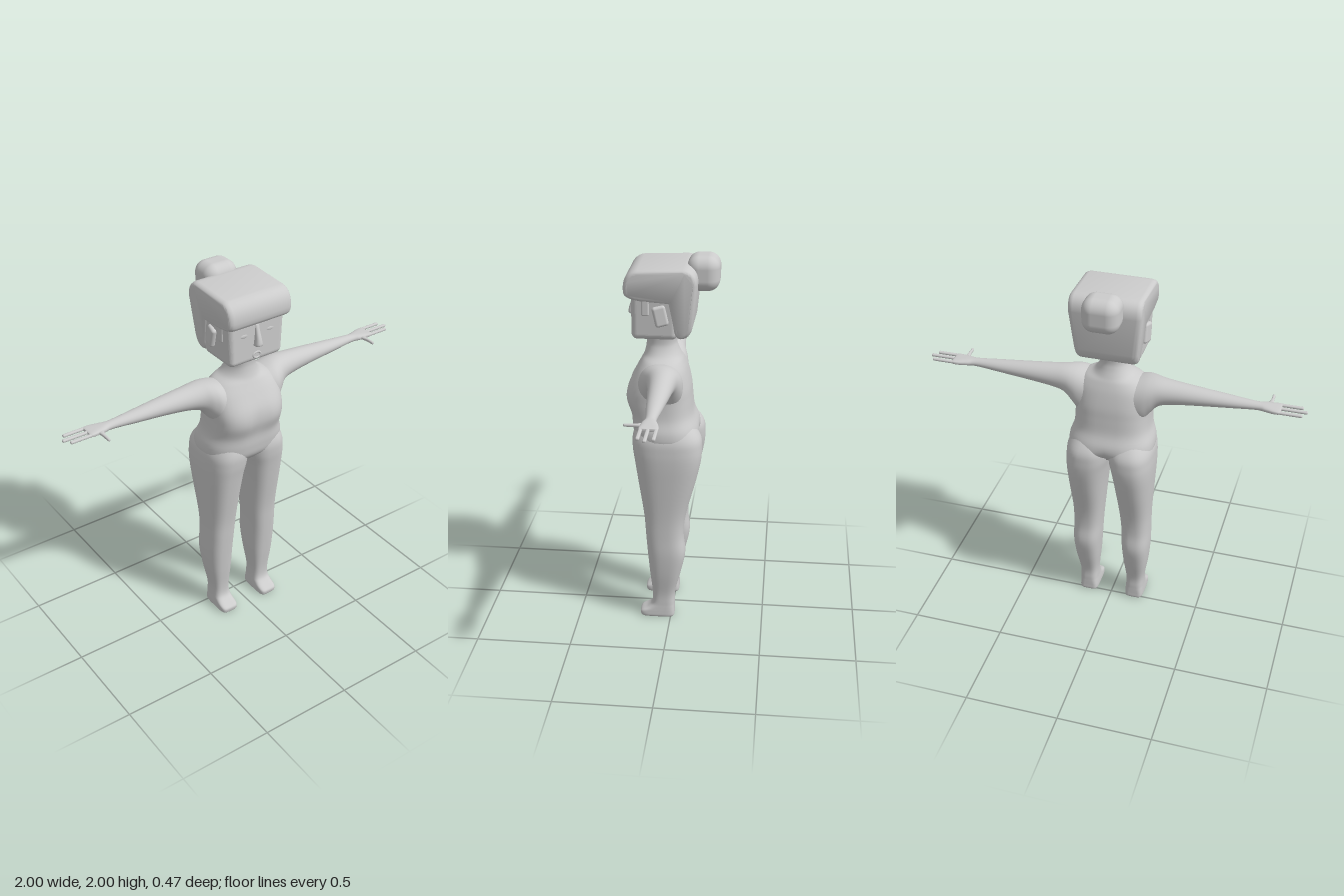
import * as THREE from 'three';
import { RoundedBoxGeometry } from 'three/addons/geometries/RoundedBoxGeometry.js';
import { toCreasedNormals } from 'three/addons/utils/BufferGeometryUtils.js';

const material = new THREE.MeshStandardMaterial({ color: 0xcccccc });
const SIDES = 40, STEPS = 5;

function add(parent, name, geometry, x = 0, y = 0, z = 0) {
  const mesh = new THREE.Mesh(geometry, material);
  mesh.name = name;
  mesh.position.set(x, y, z);
  parent.add(mesh);
  return mesh;
}

// Smooth tube through superellipse sections [t, aMin, aMax, bMin, bMax, squareness].
// axis 'y': t = y, a = z, b = x.  axis 'x': t = x, a = y, b = z.
function loft(axis, sections) {
  const spline = new THREE.CubicInterpolant(sections.map((_, i) => i), sections.flat(), 6, new Float32Array(6));
  const rings = (sections.length - 1) * STEPS, pos = [], idx = [];
  const put = (t, a, b) => (axis === 'y' ? pos.push(b, t, a) : pos.push(t, a, b));
  const power = (v, e) => Math.sign(v) * Math.abs(v) ** e;
  for (let i = 0; i <= rings; i++) {
    const [t, a0, a1, b0, b1, n] = spline.evaluate(i / STEPS);
    for (let j = 0; j < SIDES; j++) {
      const q = (j / SIDES) * Math.PI * 2;
      put(t, (a0 + a1) / 2 + ((a1 - a0) / 2) * power(Math.cos(q), 2 / n),
        (b0 + b1) / 2 + ((b1 - b0) / 2) * power(Math.sin(q), 2 / n));
    }
  }
  for (let i = 0; i < rings; i++) {
    for (let j = 0; j < SIDES; j++) {
      const k = (j + 1) % SIDES, p = i * SIDES, r = p + SIDES;
      idx.push(p + j, p + k, r + k, p + j, r + k, r + j);
    }
  }
  // end caps
  for (const end of [0, rings]) {
    const [t, a0, a1, b0, b1] = sections[end ? sections.length - 1 : 0];
    const c = pos.length / 3;
    put(t, (a0 + a1) / 2, (b0 + b1) / 2);
    for (let j = 0; j < SIDES; j++) {
      const p = end * SIDES + j, k = end * SIDES + ((j + 1) % SIDES);
      idx.push(c, ...(end ? [p, k] : [k, p]));
    }
  }
  const g = new THREE.BufferGeometry();
  g.setAttribute('position', new THREE.Float32BufferAttribute(pos, 3));
  g.setIndex(idx);
  g.computeVertexNormals();
  return g;
}

// Move every vertex by a rule
function deform(g, rule) {
  const p = g.attributes.position, v = new THREE.Vector3();
  for (let i = 0; i < p.count; i++) {
    v.fromBufferAttribute(p, i);
    rule(v);
    p.setXYZ(i, v.x, v.y, v.z);
  }
  g.computeVertexNormals();
  return g;
}

function buildTorso(parent) {
  const g = loft('y', [
    [0.99, -0.09, 0.15, -0.17, 0.17, 2.4],
    [1.04, -0.14, 0.195, -0.222, 0.222, 2.6],
    [1.1, -0.137, 0.208, -0.225, 0.225, 2.7],
    [1.17, -0.11, 0.215, -0.203, 0.203, 2.8],
    [1.25, -0.1, 0.24, -0.198, 0.198, 2.9],
    [1.32, -0.093, 0.232, -0.2, 0.2, 2.8],
    [1.4, -0.075, 0.192, -0.195, 0.195, 2.5],
    [1.45, -0.057, 0.165, -0.16, 0.16, 2.2],
    [1.48, -0.042, 0.15, -0.105, 0.105, 2.1],
    [1.52, -0.025, 0.14, -0.076, 0.076, 2.2],
    [1.56, -0.018, 0.138, -0.07, 0.07, 2.3],
    [1.64, -0.03, 0.15, -0.08, 0.08, 2.4],
  ]);
  // shallow hollow down the chest and the lower back
  deform(g, (v) => {
    const hollow = Math.exp(-((v.x / 0.05) ** 2));
    if (v.z > 0.1) v.z -= 0.012 * hollow * Math.exp(-(((v.y - 1.26) / 0.08) ** 2));
    if (v.z < -0.05) v.z += 0.03 * hollow * Math.exp(-(((v.y - 1.02) / 0.05) ** 2));
  });
  add(parent, 'torso', g);
}

function buildLeg(parent) {
  add(parent, 'leg', loft('y', [
    [0, -0.014, 0.16, 0.086, 0.18, 5],
    [0.01, -0.02, 0.165, 0.081, 0.186, 5],
    [0.032, -0.02, 0.163, 0.081, 0.186, 5],
    [0.055, -0.02, 0.125, 0.083, 0.185, 4],
    [0.085, -0.02, 0.102, 0.085, 0.184, 3.2],
    [0.15, -0.022, 0.1, 0.085, 0.186, 3],
    [0.27, -0.053, 0.113, 0.072, 0.205, 2.8],
    [0.39, -0.077, 0.124, 0.064, 0.215, 2.7],
    [0.5, -0.067, 0.133, 0.059, 0.214, 2.7],
    [0.62, -0.08, 0.143, 0.048, 0.216, 2.6],
    [0.8, -0.127, 0.17, 0.03, 0.227, 2.6],
    [0.92, -0.154, 0.188, 0.014, 0.234, 2.6],
    [1.0, -0.16, 0.2, -0.002, 0.234, 2.6],
    [1.07, -0.148, 0.2, -0.005, 0.225, 2.5],
    [1.16, -0.08, 0.17, 0.02, 0.18, 2.3],
  ]));
}

function buildArm(parent) {
  add(parent, 'arm', loft('x', [
    [0.1, 1.22, 1.45, -0.06, 0.16, 2.3],
    [0.165, 1.23, 1.468, -0.062, 0.165, 2.3],
    [0.205, 1.275, 1.474, -0.055, 0.145, 2.2],
    [0.25, 1.325, 1.474, -0.043, 0.115, 2.1],
    [0.32, 1.345, 1.468, -0.034, 0.098, 2],
    [0.45, 1.362, 1.456, -0.024, 0.083, 2],
    [0.6, 1.376, 1.442, -0.011, 0.07, 2],
    [0.74, 1.388, 1.43, 0.002, 0.056, 2],
    [0.79, 1.392, 1.427, -0.008, 0.066, 2.4],
    [0.83, 1.396, 1.424, -0.018, 0.07, 3],
    [0.86, 1.401, 1.421, -0.02, 0.072, 4],
    [0.87, 1.405, 1.418, -0.014, 0.066, 4],
  ]));
  // fingers and thumb
  for (const [z, tip] of [[-0.01, 0.978], [0.028, 1], [0.062, 0.975]]) {
    add(parent, 'finger', new RoundedBoxGeometry(tip - 0.84, 0.015, 0.018, 3, 0.007), (tip + 0.84) / 2, 1.411, z);
  }
  const thumb = loft('y', [
    [0.03, -0.01, 0.01, -0.022, 0.016, 2.4],
    [0.07, -0.009, 0.009, -0.015, 0.011, 2.4],
    [0.1, -0.008, 0.008, -0.008, 0.008, 2.4],
    [0.14, -0.007, 0.007, -0.007, 0.007, 2.4],
    [0.146, -0.004, 0.004, -0.004, 0.004, 2.2],
  ]);
  add(parent, 'thumb', thumb, 0.813, 1.409, 0).rotation.x = Math.PI / 2;
}

function buildHead(parent) {
  // face block, narrower at the jaw
  const face = deform(new RoundedBoxGeometry(0.34, 0.3, 0.23, 5, 0.03), (v) => {
    v.x *= 0.965 + v.y * 0.28;
  });
  add(parent, 'face', face, 0, 1.742, 0.083);

  // side outline of the hair (z, y), extruded across the head
  const s = new THREE.Shape();
  s.moveTo(0.215, 1.838);
  s.quadraticCurveTo(0.222, 1.925, 0.16, 1.934);
  s.lineTo(-0.06, 1.942);
  s.quadraticCurveTo(-0.112, 1.942, -0.112, 1.88);
  s.lineTo(-0.09, 1.67);
  s.quadraticCurveTo(-0.082, 1.618, -0.05, 1.616);
  s.quadraticCurveTo(-0.032, 1.618, -0.028, 1.66);
  s.lineTo(-0.005, 1.8);
  s.lineTo(0.14, 1.81);
  s.quadraticCurveTo(0.21, 1.82, 0.215, 1.838);
  let hair = new THREE.ExtrudeGeometry(s, {
    depth: 0.3, bevelSize: 0.02, bevelThickness: 0.035, bevelSegments: 6, curveSegments: 10,
  });
  hair.translate(0, 0, -0.15).rotateY(-Math.PI / 2);
  hair = deform(hair, (v) => {
    v.x *= v.y > 1.85 ? 1 : 1 - (1.85 - v.y) * 0.6;
  });
  add(parent, 'hair', toCreasedNormals(hair, 0.7));
  add(parent, 'hairBun', new RoundedBoxGeometry(0.19, 0.178, 0.165, 8, 0.06), 0, 1.911, -0.153);

  // nose: wedge growing towards its tip
  add(parent, 'nose', loft('y', [
    [1.682, 0.18, 0.212, -0.016, 0.016, 2.4],
    [1.69, 0.18, 0.23, -0.021, 0.021, 2.4],
    [1.72, 0.18, 0.226, -0.017, 0.017, 2.4],
    [1.765, 0.18, 0.211, -0.013, 0.013, 2.4],
    [1.8, 0.18, 0.2, -0.013, 0.013, 2.4],
  ]));
  add(parent, 'mouth', new THREE.TorusGeometry(0.021, 0.007, 8, 28), 0, 1.63, 0.196).scale.y = 0.75;

  for (const side of [-1, 1]) {
    const eye = add(parent, 'eye', new THREE.SphereGeometry(0.026, 20, 12), side * 0.078, 1.752, 0.195);
    eye.scale.set(1, 0.45, 0.2);
    const ear = add(parent, 'ear', new RoundedBoxGeometry(0.03, 0.105, 0.068, 5, 0.014), side * 0.168, 1.722, 0.05);
    ear.rotation.set(0.22, side * 0.2, 0);
    add(parent, 'sideburn', new RoundedBoxGeometry(0.02, 0.1, 0.04, 4, 0.009), side * 0.161, 1.77, 0.125);
  }
}

export function createModel() {
  const model = new THREE.Group();
  model.name = 'figure';
  buildTorso(model);
  for (const side of [1, -1]) {
    const limbs = new THREE.Group();
    limbs.name = side > 0 ? 'leftLimbs' : 'rightLimbs';
    limbs.scale.x = side;
    buildLeg(limbs);
    buildArm(limbs);
    model.add(limbs);
  }
  const head = new THREE.Group();
  head.name = 'head';
  buildHead(head);
  model.add(head);
  return model;
}
